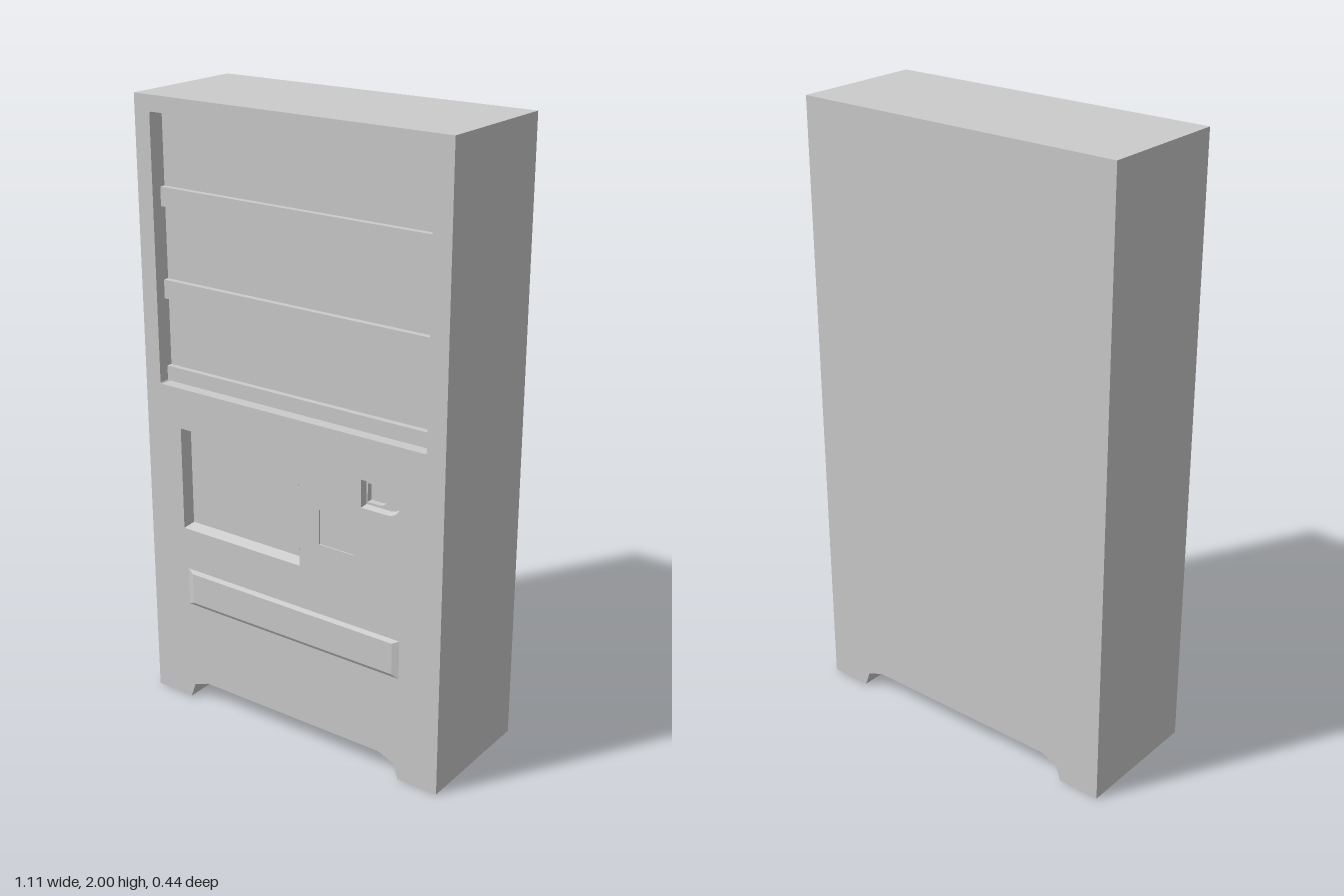
import * as THREE from 'three';

const FRONT = 0.213, BACK = -0.222, DEPTH = 0.055;
const grey = new THREE.MeshStandardMaterial({ color: 0xcccccc, flatShading: true, side: THREE.DoubleSide });
const light = new THREE.MeshStandardMaterial({ color: 0xe4e4e4, flatShading: true });

// Outlines are counter-clockwise lists of points
const rect = (x0, x1, y0, y1) =>
  [[x0, y0], [x1, y0], [x1, y1], [x0, y1]].map(p => new THREE.Vector2(...p));

function roundedRect(x0, x1, y0, y1, r) {
  const pts = [];
  [[x1 - r, y0 + r, -1], [x1 - r, y1 - r, 0], [x0 + r, y1 - r, 1], [x0 + r, y0 + r, 2]].forEach(([x, y, q]) => {
    for (let i = 0; i <= 3; i++) {
      const a = (q + i / 3) * Math.PI / 2;
      pts.push(new THREE.Vector2(x + r * Math.cos(a), y + r * Math.sin(a)));
    }
  });
  return pts;
}

// Straight left side, half-round right side
function dShape(x0, x1, y0, y1) {
  const r = (y1 - y0) / 2, pts = [new THREE.Vector2(x0, y0)];
  for (let i = 0; i <= 12; i++) {
    const a = (i / 12 - 0.5) * Math.PI;
    pts.push(new THREE.Vector2(x1 - r + r * Math.cos(a), y0 + r + r * Math.sin(a)));
  }
  pts.push(new THREE.Vector2(x0, y1));
  return pts;
}

// Walls between outline a at za and outline b at zb, closed by a face at zb
function loft(a, za, b, zb, hole) {
  const pos = [], n = a.length;
  for (let i = 0; i < n; i++) {
    const j = (i + 1) % n;
    const A = [a[i].x, a[i].y, za], B = [a[j].x, a[j].y, za];
    const C = [b[j].x, b[j].y, zb], D = [b[i].x, b[i].y, zb];
    pos.push(...A, ...B, ...C, ...A, ...C, ...D);
  }
  const shape = new THREE.Shape(b);
  if (hole) shape.holes.push(new THREE.Path(hole));
  const cap = new THREE.ShapeGeometry(shape).toNonIndexed().attributes.position;
  for (let i = 0; i < cap.count; i++) pos.push(cap.getX(i), cap.getY(i), zb);
  const g = new THREE.BufferGeometry();
  g.setAttribute('position', new THREE.Float32BufferAttribute(pos, 3));
  g.computeVertexNormals();
  return g;
}

export function createModel() {
  const group = new THREE.Group();
  const add = (name, geometry, material = grey) => {
    const mesh = new THREE.Mesh(geometry, material);
    mesh.name = name;
    group.add(mesh);
    return mesh;
  };

  // Cabinet outline with the cut-out between the feet
  const outline = [[-0.555, 0], [-0.415, 0], [-0.397, 0.05], [-0.34, 0.072], [0.34, 0.072],
    [0.397, 0.05], [0.415, 0], [0.555, 0], [0.555, 2], [-0.555, 2]].map(p => new THREE.Vector2(...p));
  const windowRect = roundedRect(-0.497, 0.493, 1.1, 1.95, 0.008);
  const trayRect = rect(-0.42, 0.043, 0.622, 0.966);
  const plateRect = rect(0.118, 0.245, 0.715, 0.83);
  const slotShape = dShape(0.27, 0.408, 0.878, 0.967);

  const slab = (z0, z1, holes) => {
    const shape = new THREE.Shape(outline);
    holes.forEach(h => shape.holes.push(new THREE.Path(h)));
    return new THREE.ExtrudeGeometry(shape, { depth: z1 - z0, bevelEnabled: false }).translate(0, 0, z0);
  };
  add('cabinet', slab(BACK, FRONT - DEPTH, []));
  add('frontPanel', slab(FRONT - DEPTH, FRONT, [windowRect, trayRect, plateRect, slotShape]));

  // Display window: back wall and three shelves
  const backZ = FRONT - DEPTH;
  const displayBack = new THREE.ShapeGeometry(new THREE.Shape(windowRect));
  add('displayBack', displayBack, light).position.z = backZ + 0.001;
  [[1.66, 1.72], [1.37, 1.43], [1.102, 1.15]].forEach(([y0, y1]) => {
    add('shelf', new THREE.BoxGeometry(0.99, y1 - y0, 0.02))
      .position.set(-0.002, (y0 + y1) / 2, backZ + 0.01);
  });

  // Delivery opening with slightly sloped walls and a flap
  add('deliveryOpening', loft(trayRect, FRONT, rect(-0.405, 0.028, 0.636, 0.956), FRONT - 0.035));
  add('deliveryFlap', new THREE.BoxGeometry(0.425, 0.32, 0.004)).position.set(-0.193, 0.796, FRONT - 0.033);

  // Shallow square plate
  add('coinReturnPlate', loft(plateRect, FRONT, plateRect, FRONT - 0.005));

  // Coin slot: stepped recess
  const innerSlot = dShape(0.28, 0.352, 0.892, 0.952);
  add('coinRecess', loft(slotShape, FRONT, dShape(0.276, 0.402, 0.884, 0.961), FRONT - 0.02, innerSlot));
  add('coinSlot', loft(innerSlot, FRONT - 0.02, innerSlot, FRONT - 0.04));

  // Raised bevelled strip
  add('lowerStrip', loft(rect(-0.408, 0.412, 0.352, 0.48), FRONT, rect(-0.385, 0.39, 0.364, 0.468), FRONT + 0.007));

  return group;
}
